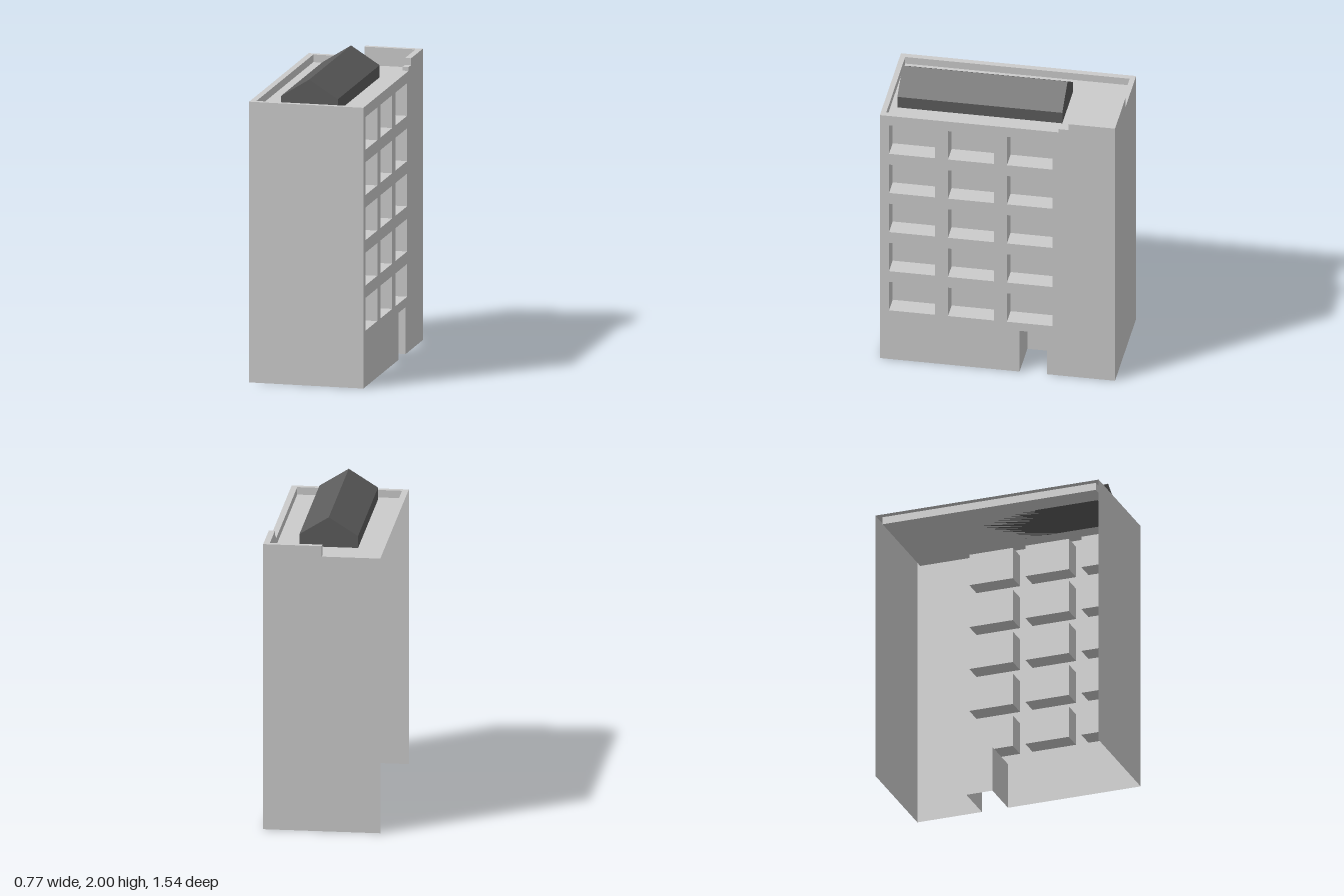
import * as THREE from 'three';

const wallMat = new THREE.MeshStandardMaterial({ color: 0xcccccc, side: THREE.DoubleSide, flatShading: true });
const roofMat = new THREE.MeshStandardMaterial({ color: 0x5c5c5c, side: THREE.DoubleSide, flatShading: true });

const X = 0.38, Z = 0.77;      // half width and half length
const IX = 0.34, IZ = 0.735;   // inner edge of the parapet
const TOP = 1.85, DECK = 1.8;  // parapet top and roof deck

// Box between two corners; the faces listed in skip are left out
// (0 +x, 1 -x, 2 +y, 3 -y, 4 +z, 5 -z)
function openBox(x0, x1, y0, y1, z0, z1, skip = []) {
  const g = new THREE.BoxGeometry(x1 - x0, y1 - y0, z1 - z0);
  g.translate((x0 + x1) / 2, (y0 + y1) / 2, (z0 + z1) / 2);
  g.setIndex(Array.from(g.index.array).filter((_, i) => !skip.includes(Math.floor(i / 6))));
  g.clearGroups();
  return g;
}

function rectPath(path, x0, x1, y0, y1) {
  path.moveTo(x0, y0);
  path.lineTo(x1, y0);
  path.lineTo(x1, y1);
  path.lineTo(x0, y1);
  path.closePath();
  return path;
}

export function createModel() {
  const model = new THREE.Group();
  const add = (name, geometry, material = wallMat) => {
    const mesh = new THREE.Mesh(geometry, material);
    mesh.name = name;
    model.add(mesh);
    return mesh;
  };

  // Window grid and door, in z and y
  const windows = [];
  for (let row = 0; row < 5; row++) {
    for (let col = 0; col < 3; col++) {
      const z1 = 0.71 - col * 0.386, y0 = 0.37 + row * 0.298;
      windows.push({ z0: z1 - 0.3, z1, y0, y1: y0 + 0.216 });
    }
  }
  const door = { z0: -0.325, z1: -0.145, h: 0.31 };

  // Facade with window holes and door cut-out (shape x runs along -z)
  const facade = new THREE.Shape([
    [-Z, 0], [-door.z1, 0], [-door.z1, door.h], [-door.z0, door.h],
    [-door.z0, 0], [Z, 0], [Z, TOP], [-Z, TOP],
  ].map(([x, y]) => new THREE.Vector2(x, y)));
  for (const w of windows) {
    facade.holes.push(rectPath(new THREE.Path(), -w.z1, -w.z0, w.y0, w.y1));
  }
  add('facade', new THREE.ShapeGeometry(facade).rotateY(Math.PI / 2).translate(X, 0, 0));

  // Recesses behind the openings
  for (const w of windows) {
    add('windowRecess', openBox(X - 0.13, X, w.y0, w.y1, w.z0, w.z1, [0]));
  }
  add('doorRecess', openBox(X - 0.28, X, 0, door.h, door.z0, door.z1, [0, 3]));

  // Plain end walls; the remaining long side stays open
  add('frontWall', new THREE.PlaneGeometry(2 * X, TOP).translate(0, TOP / 2, Z));
  add('backWall', new THREE.PlaneGeometry(2 * X, TOP).rotateY(Math.PI).translate(0, TOP / 2, -Z));

  // Parapet rim, then the sunken deck with the inner parapet faces
  const rim = rectPath(new THREE.Shape(), -X, X, -Z, Z);
  rim.holes.push(rectPath(new THREE.Path(), -IX, IX, -IZ, IZ));
  add('parapetRim', new THREE.ShapeGeometry(rim).rotateX(-Math.PI / 2).translate(0, TOP, 0));
  add('roofDeck', openBox(-IX, IX, DECK, TOP, -IZ, IZ, [2]));

  // Raised parapet around one back corner, with a small step
  add('raisedParapetBack', openBox(0, X, TOP, 1.92, -Z, -IZ, [3]));
  add('raisedParapetSide', openBox(IX, X, TOP, 1.92, -IZ, -0.465, [3]));
  add('parapetStep', openBox(IX, X, TOP, 1.875, -0.465, -0.4, [3]));

  // Gabled roof house
  const gable = new THREE.Shape([
    [-0.19, DECK], [0.19, DECK], [0.19, 1.88], [0, 2], [-0.19, 1.88],
  ].map(([x, y]) => new THREE.Vector2(x, y)));
  const gableGeometry = new THREE.ExtrudeGeometry(gable, { depth: 1.08, bevelEnabled: false });
  add('gabledRoof', gableGeometry.translate(0, 0, -0.39), roofMat);

  model.rotation.y = -0.004;
  return model;
}
